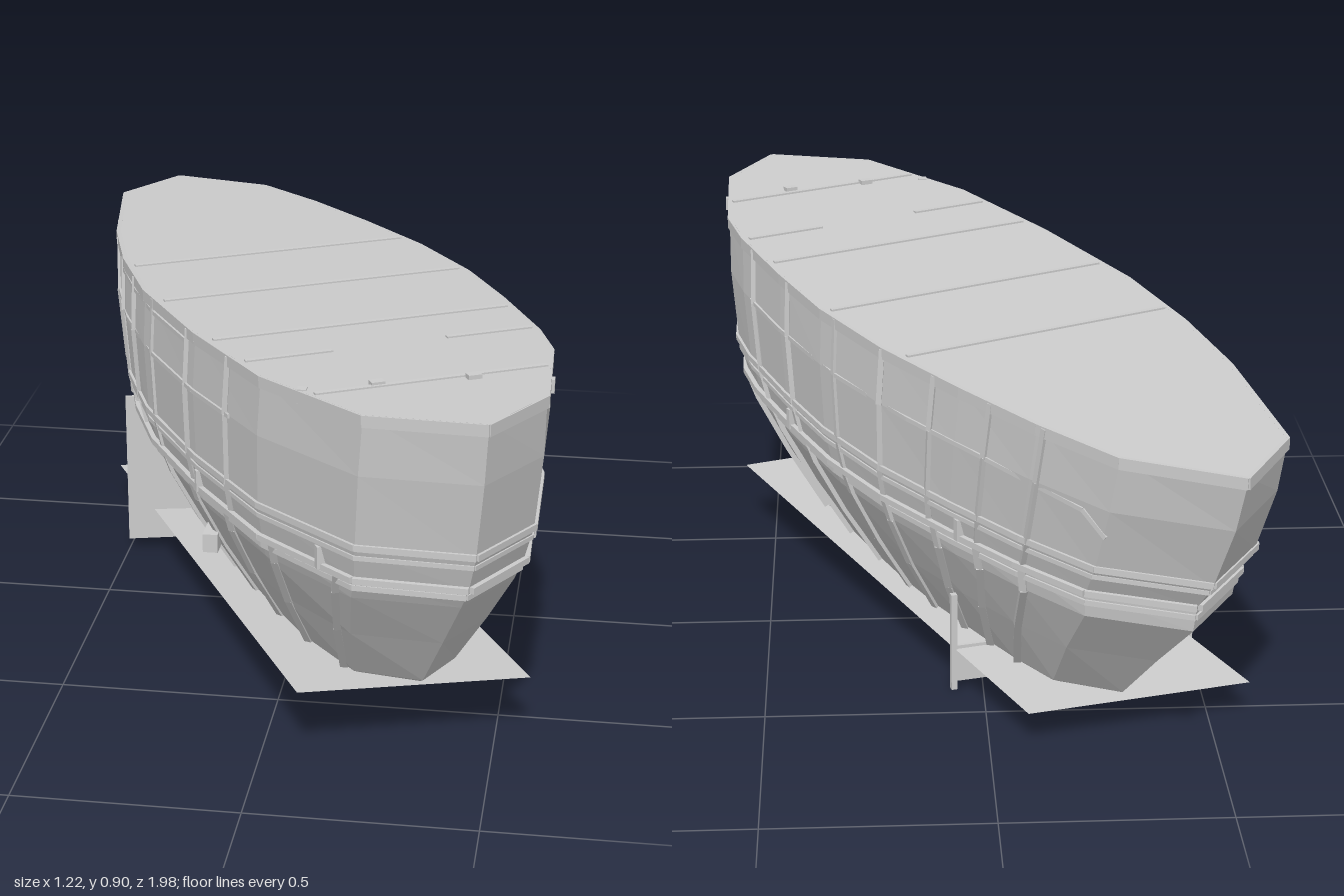
import * as THREE from 'three';
import { mergeGeometries } from 'three/addons/utils/BufferGeometryUtils.js';

const material = new THREE.MeshStandardMaterial({ color: 0xcccccc, flatShading: true, side: THREE.DoubleSide });

// Deck outline of each side, bow to stern: [distance along, offset across]
const LEFT = [[1.1, 0], [0.98, 0.175], [0.7, 0.306], [0.56, 0.335], [0.3, 0.358], [0.064, 0.368],
  [-0.2, 0.348], [-0.464, 0.3], [-0.7, 0.247], [-0.916, 0.18], [-1.11, 0]];
const RIGHT = [[1.1, 0], [0.956, -0.21], [0.643, -0.322], [0.3, -0.363], [-0.068, -0.377],
  [-0.35, -0.35], [-0.61, -0.3], [-0.985, -0.185], [-1.11, 0]];
const RING = [...LEFT, ...RIGHT.slice(1, -1).reverse()];

// Hull levels: [height, pitch, bow scale, stern scale, breadth scale, bluntness of the ends]
const LEVELS = [
  [0.835, 0.062, 1, 1, 1, 0],
  [0.7, 0.06, 0.985, 0.965, 1.02, 0],
  [0.535, 0.052, 0.955, 0.9, 1, 0],
  [0.458, 0.047, 0.925, 0.85, 0.955, 0],
  [0.4, 0.05, 0.89, 0.84, 0.9, 0.05],
  [0.27, 0.055, 0.8, 0.72, 0.72, 0.15],
  [0.13, 0.058, 0.7, 0.6, 0.49, 0.3],
  [0.079, 0.05, 0.6, 0.51, 0.33, 0.35],
];

function levelAt(y) {
  for (let i = 0; i < LEVELS.length - 1; i++) {
    const a = LEVELS[i], b = LEVELS[i + 1];
    if (y >= b[0]) {
      const t = (a[0] - y) / (a[0] - b[0]);
      return a.map((v, k) => v + (b[k] - v) * t);
    }
  }
  return LEVELS[LEVELS.length - 1];
}

function offsetAt(u, side) {
  for (let i = 0; i < side.length - 1; i++) {
    const [u0, w0] = side[i], [u1, w1] = side[i + 1];
    if (u >= u1) return w0 + (w1 - w0) * (u0 - u) / (u0 - u1);
  }
  return 0;
}

// Point on the hull skin
function hullPoint(u, w, y) {
  const [h, pitch, bow, stern, beam, blunt] = levelAt(y);
  const z = u * (u > 0 ? bow : stern);
  const x = Math.sign(w) * beam * 0.375 * (Math.abs(w) / 0.375) ** (1 - blunt);
  return new THREE.Vector3(x, h + pitch * z, z);
}

function hullGeometry() {
  const n = RING.length, pos = [], index = [];
  for (const [y] of LEVELS) {
    for (const [u, w] of RING) pos.push(...hullPoint(u, w, y).toArray());
  }
  for (let l = 0; l < LEVELS.length - 1; l++) {
    for (let i = 0; i < n; i++) {
      const a = l * n + i, b = l * n + (i + 1) % n;
      index.push(a, b, b + n, a, b + n, a + n);
    }
  }
  // Flat deck and flat bottom
  const last = (LEVELS.length - 1) * n;
  for (let i = 1; i < n - 1; i++) {
    index.push(0, i + 1, i);
    index.push(last, last + i, last + i + 1);
  }
  const g = new THREE.BufferGeometry();
  g.setAttribute('position', new THREE.Float32BufferAttribute(pos, 3));
  g.setIndex(index);
  g.computeVertexNormals();
  return g;
}

// Batten of rectangular section following a list of points
function batten(points, width, height = width) {
  const parts = [];
  for (let i = 0; i < points.length - 1; i++) {
    const a = points[i], b = points[i + 1];
    const o = new THREE.Object3D();
    o.position.copy(a).add(b).multiplyScalar(0.5);
    o.lookAt(b);
    o.updateMatrix();
    parts.push(new THREE.BoxGeometry(width, height, a.distanceTo(b) + 0.002).applyMatrix4(o.matrix));
  }
  return mergeGeometries(parts);
}

function add(parent, name, geometry) {
  const m = new THREE.Mesh(geometry, material);
  m.name = name;
  parent.add(m);
  return m;
}

function block(parent, name, size, position, yaw = 0) {
  const m = add(parent, name, new THREE.BoxGeometry(...size));
  m.position.set(...position);
  m.rotation.y = yaw;
}

export function createModel() {
  const model = new THREE.Group();
  model.name = 'boat';

  const hull = new THREE.Group();
  hull.name = 'hull';
  hull.rotation.y = 0.467;
  model.add(hull);
  add(hull, 'hullShell', hullGeometry());

  // Rails running right round the hull: [height, width, thickness]
  const rails = [[0.822, 0.01, 0.026], [0.54, 0.014, 0.014], [0.515, 0.01, 0.01],
    [0.46, 0.026, 0.014], [0.435, 0.012, 0.012]];
  for (const [y, w, t] of rails) {
    const loop = RING.map(([u, b]) => hullPoint(u, b, y));
    loop.push(loop[0].clone());
    add(hull, 'rail', batten(loop, w, t));
  }

  for (const side of [LEFT, RIGHT]) {
    const at = (u, y) => hullPoint(u, offsetAt(u, side), y);
    // Upper side stringer, curving down at the stern
    const stringer = [[0.5, 0.7], [0.3, 0.7], [0, 0.7], [-0.3, 0.7], [-0.55, 0.7], [-0.85, 0.68], [-0.92, 0.63]];
    add(hull, 'stringer', batten(stringer.map(([u, y]) => at(u, y)), 0.01));
    // Frames above and below the rails
    for (const u of [0.48, 0.25, 0, -0.2, -0.38, -0.56, -0.72]) {
      add(hull, 'upperFrame', batten([0.83, 0.7, 0.535, 0.46].map(y => at(u, y)), 0.013));
    }
    for (const u of [0.9, 0.68, 0.45, 0.22, 0, -0.2, -0.4, -0.56, -0.72]) {
      add(hull, 'lowerFrame', batten([0.458, 0.4, 0.27, 0.13].map(y => at(u, y)), 0.017));
    }
    // Small fittings standing off the rail
    for (const u of [0.85, 0.3, -0.5]) {
      const p = at(u, 0.48);
      block(hull, 'fitting', [0.025, 0.05, 0.015], [p.x, p.y, p.z]);
    }
  }
  const upper = [0.25, 0, -0.2, -0.38].map(u => hullPoint(u, offsetAt(u, RIGHT), 0.8));
  add(hull, 'upperStringer', batten(upper, 0.01));

  // Deck beams lying across the flat deck: [distance along, half gap in the middle]
  for (const [u, gap] of [[0.8, 0], [0.54, 0.13], [0.37, 0], [0.04, 0], [-0.27, 0]]) {
    for (const side of [LEFT, RIGHT]) {
      const end = offsetAt(u, side) * 0.97;
      const start = Math.sign(end) * gap;
      block(hull, 'deckBeam', [Math.abs(end - start), 0.008, 0.012], [(start + end) / 2, 0.835 + 0.062 * u, u]);
    }
  }
  for (const [x, u] of [[-0.12, 0.79], [0.08, 0.82]]) {
    block(hull, 'deckCleat', [0.03, 0.014, 0.02], [x, 0.838 + 0.062 * u, u]);
  }

  // Flat slanted plate around the foot of the hull
  const corners = [[0.575, 0.615], [0.085, 0.775], [-0.59, -0.56], [-0.085, -0.675]];
  const plate = new THREE.BufferGeometry();
  plate.setAttribute('position', new THREE.Float32BufferAttribute(
    corners.flatMap(([x, z]) => [x, 0.128 + 0.06 * (z - 0.055), z]), 3));
  plate.setIndex([0, 2, 1, 0, 3, 2]);
  plate.computeVertexNormals();
  add(model, 'footPlate', plate);

  // Upright board crossing below the hull, with its posts
  const yaw = 0.24;
  block(model, 'crossBoard', [0.37, 0.39, 0.008], [-0.32, 0.225, -0.285], yaw);
  block(model, 'crossBoardEnd', [0.11, 0.09, 0.008], [0.02, 0.065, -0.368], yaw);
  for (const [x, z, low, high] of [[-0.14, -0.33, 0.02, 0.15], [-0.025, -0.357, 0.01, 0.14], [0.068, -0.38, 0, 0.24]]) {
    block(model, 'post', [0.014, high - low, 0.014], [x, (low + high) / 2, z], yaw);
  }

  // Square beam end standing out of the lower side
  block(model, 'beamEnd', [0.035, 0.045, 0.16], [-0.185, 0.295, 0.24]);
  // Fittings standing on the deck edge
  block(model, 'edgeFitting', [0.02, 0.03, 0.02], [0.595, 0.865, 0.66]);
  block(model, 'edgeFitting', [0.02, 0.03, 0.02], [0.1, 0.87, 0.8]);
  return model;
}
